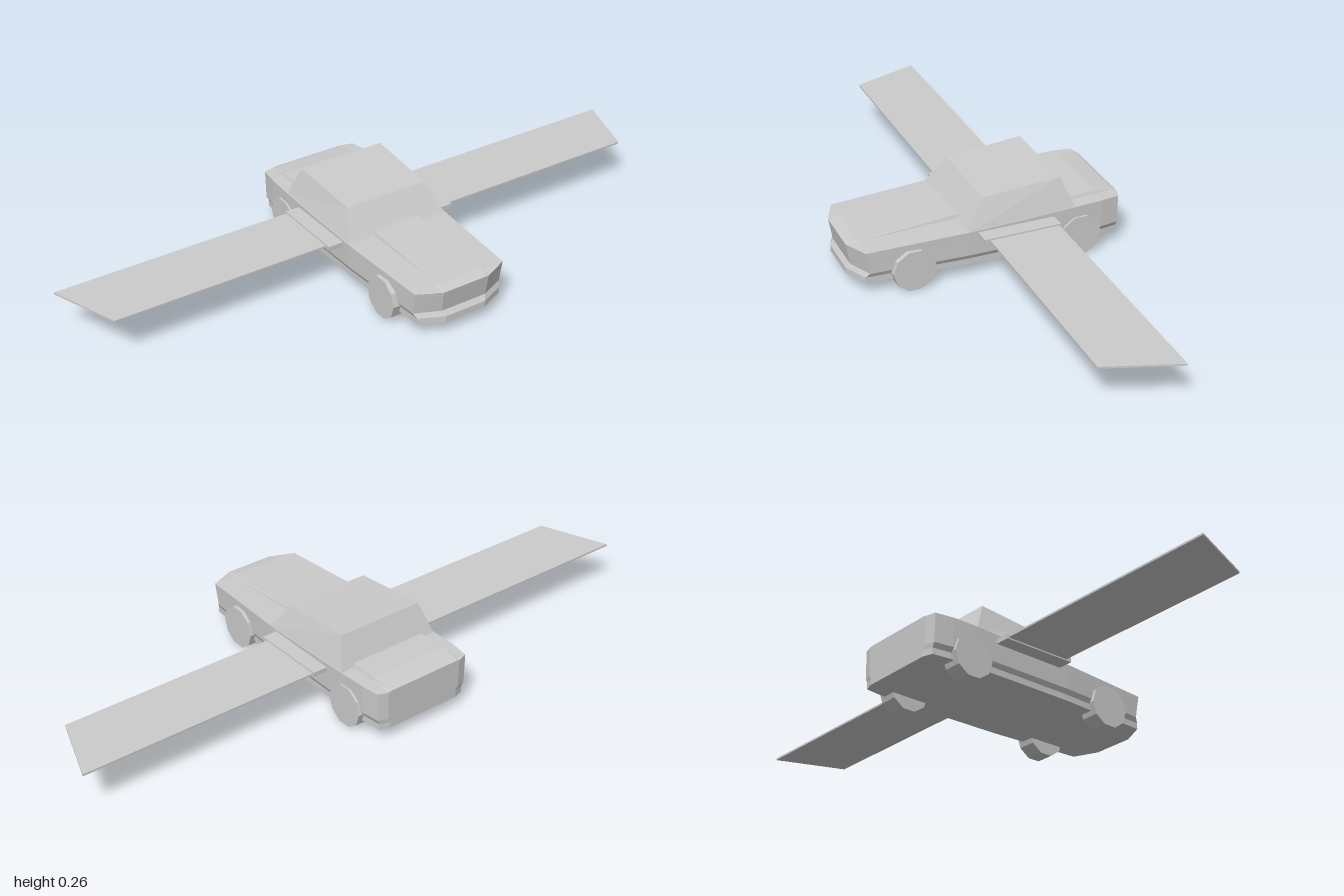
import * as THREE from 'three';

const mat = new THREE.MeshStandardMaterial({ color: 0xcccccc, flatShading: true });

function add(parent, geo, name) {
  const m = new THREE.Mesh(geo, mat);
  m.name = name;
  parent.add(m);
  return m;
}

// Stacks mirrored plan outlines; each level lists [x, y, z] from nose to tail on the +x side
function loft(levels) {
  const pos = [];
  const quad = (a, b, c, d) => pos.push(...a, ...b, ...c, ...a, ...c, ...d);
  const mirror = ([x, y, z]) => [-x, y, z];
  const loops = levels.map((l) => [...l, ...l.map(mirror).reverse()]);
  const n = loops[0].length;
  for (let k = 0; k < loops.length - 1; k++) {
    for (let i = 0; i < n; i++) {
      const j = (i + 1) % n;
      quad(loops[k][i], loops[k][j], loops[k + 1][j], loops[k + 1][i]);
    }
  }
  const top = levels[levels.length - 1], base = levels[0];
  for (let i = 0; i < top.length - 1; i++) {
    quad(top[i], top[i + 1], mirror(top[i + 1]), mirror(top[i]));
    quad(mirror(base[i]), mirror(base[i + 1]), base[i + 1], base[i]);
  }
  const g = new THREE.BufferGeometry();
  g.setAttribute('position', new THREE.Float32BufferAttribute(pos, 3));
  g.computeVertexNormals();
  return g;
}

// Body stations: z, half width, shoulder height, crown half width, crown height
const stations = [
  [0.43, 0.08, 0.145, 0.075, 0.147],
  [0.395, 0.157, 0.147, 0.08, 0.153],
  [0.08, 0.175, 0.155, 0.08, 0.168],
  [-0.1, 0.177, 0.16, 0.1, 0.17],
  [-0.27, 0.178, 0.166, 0.13, 0.178],
  [-0.36, 0.175, 0.168, 0.13, 0.179],
  [-0.42, 0.167, 0.167, 0.13, 0.171],
  [-0.43, 0.135, 0.166, 0.125, 0.168],
];

function bodyGeometry() {
  const ring = (y, inset, nose) =>
    stations.map(([z, w], i) => [w - inset, y, i < 2 ? z - nose : z]);
  return loft([
    ring(0.04, 0.01, 0),
    ring(0.06, 0.01, 0),
    ring(0.075, 0.002, 0.012),
    stations.map(([z, w, s]) => [w, s, z]),
    // foot and top of the raised hood and boot panel
    stations.map(([z, , s, c], i) => [c + 0.004, s + 0.001, i ? z : z - 0.004]),
    stations.map(([z, , , c, h], i) => [c, h, i ? z : z - 0.006]),
  ]);
}

export function createModel() {
  const car = new THREE.Group();
  car.name = 'flyingCar';

  add(car, bodyGeometry(), 'body');

  // Tapered cabin
  add(car, loft([
    [[0.174, 0.15, 0.083], [0.176, 0.16, -0.272]],
    [[0.14, 0.243, 0.02], [0.145, 0.262, -0.23]],
  ]), 'cabin');

  // Ten-sided wheels with flat tread resting on the ground
  const wheelGeo = new THREE.CylinderGeometry(0.0683, 0.0683, 0.06, 10);
  wheelGeo.rotateY(Math.PI / 2);
  wheelGeo.rotateZ(Math.PI / 2);
  wheelGeo.computeBoundingBox();
  if (wheelGeo.boundingBox.min.y < -0.066) wheelGeo.rotateX(Math.PI / 10);

  // Flat wing panel, swept at the tip
  const wingShape = new THREE.Shape([
    [0.17, -0.03], [0.92, -0.03], [1, 0.195], [0.17, 0.195],
  ].map(([x, y]) => new THREE.Vector2(x, y)));
  const wingGeo = new THREE.ExtrudeGeometry(wingShape, { depth: 0.006, bevelEnabled: false });
  wingGeo.rotateX(-Math.PI / 2);

  for (const side of [1, -1]) {
    const label = side > 0 ? 'left' : 'right';
    add(car, wheelGeo, label + 'FrontWheel').position.set(side * 0.147, 0.065, 0.249);
    add(car, wheelGeo, label + 'RearWheel').position.set(side * 0.153, 0.065, -0.289);

    add(car, new THREE.BoxGeometry(0.075, 0.015, 0.248), label + 'WingRoot')
      .position.set(side * 0.187, 0.142, -0.076);

    // Half-turn about z mirrors the symmetric-thickness panel
    const wing = add(car, wingGeo, label + 'Wing');
    wing.position.y = 0.142 - side * 0.003;
    if (side < 0) wing.rotation.z = Math.PI;
  }
  return car;
}
